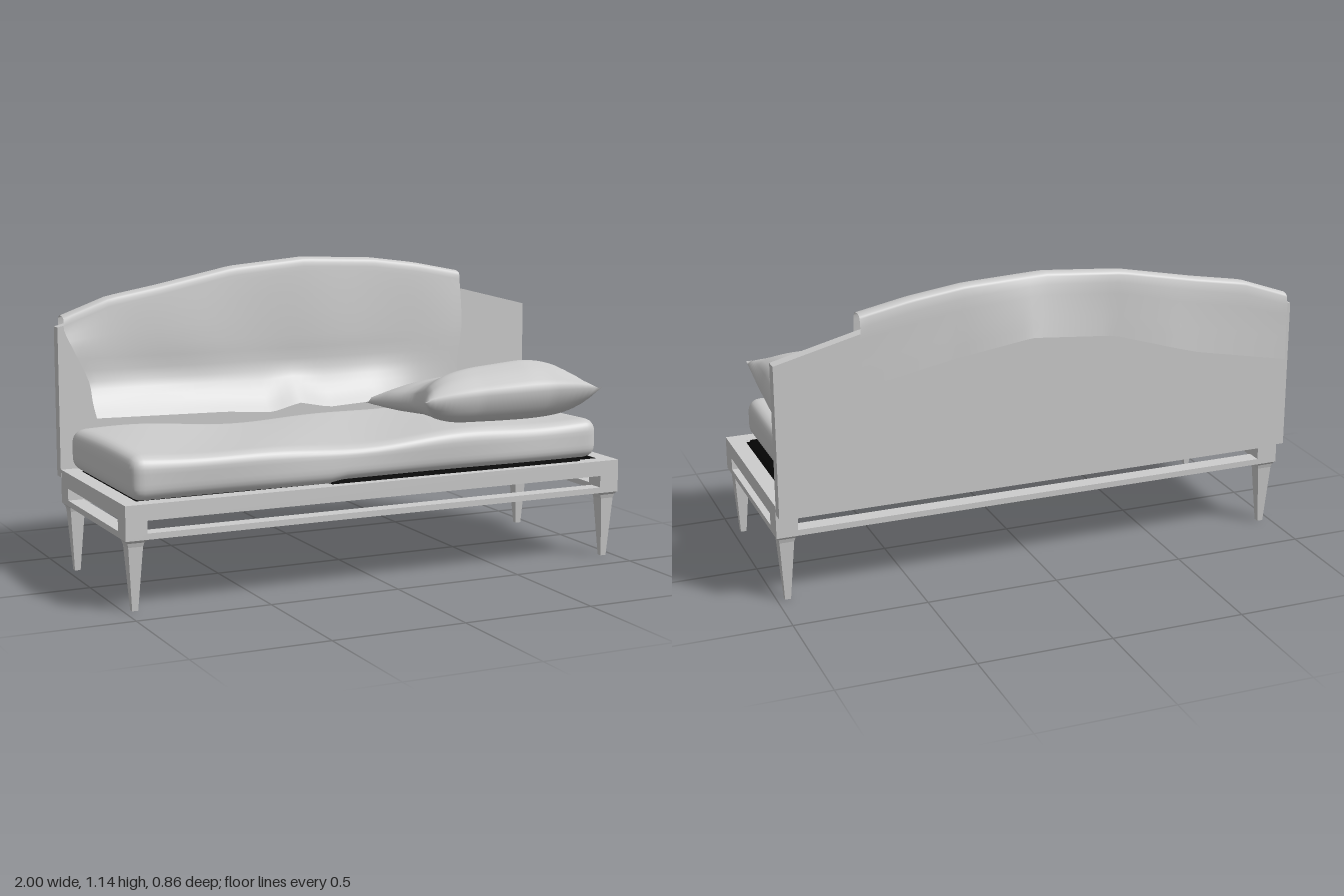
import * as THREE from 'three';
import { mergeVertices } from 'three/addons/utils/BufferGeometryUtils.js';

// Piecewise-linear lookup in a list of [x, value] pairs
function lookup(keys, x) {
  for (let i = 1; i < keys.length; i++) {
    const [x0, v0] = keys[i - 1], [x1, v1] = keys[i];
    if (x <= x1) return THREE.MathUtils.lerp(v0, v1, THREE.MathUtils.clamp((x - x0) / (x1 - x0), 0, 1));
  }
  return keys[keys.length - 1][1];
}

// Box of half size 1, reshaped by a rule and smoothed
function softBox(nx, ny, nz, rule) {
  let g = new THREE.BoxGeometry(2, 2, 2, nx, ny, nz);
  g.deleteAttribute('uv');
  g.deleteAttribute('normal');
  const p = g.attributes.position, v = new THREE.Vector3();
  for (let i = 0; i < p.count; i++) {
    v.fromBufferAttribute(p, i);
    rule(v);
    p.setXYZ(i, v.x, v.y, v.z);
  }
  g = mergeVertices(g, 1e-5);
  g.computeVertexNormals();
  return g;
}

export function createModel() {
  const model = new THREE.Group();
  const grey = new THREE.MeshStandardMaterial({ color: 0xcccccc, side: THREE.DoubleSide });
  grey.name = 'light grey';
  const black = new THREE.MeshStandardMaterial({ color: 0x040404 });
  black.name = 'black';

  const add = (name, geometry, material, x = 0, y = 0, z = 0) => {
    const m = new THREE.Mesh(geometry, material);
    m.name = name;
    m.position.set(x, y, z);
    model.add(m);
    return m;
  };
  const box = (name, mat, x0, x1, y0, y1, z0, z1) =>
    add(name, new THREE.BoxGeometry(x1 - x0, y1 - y0, z1 - z0), mat, (x0 + x1) / 2, (y0 + y1) / 2, (z0 + z1) / 2);

  // Slotted rails of the base frame
  const rail = (half) => {
    const s = new THREE.Shape([[-half, 0.255], [half, 0.255], [half, 0.38], [-half, 0.38]].map((p) => new THREE.Vector2(...p)));
    const h = half - 0.08;
    s.holes.push(new THREE.Path([[-h, 0.277], [-h, 0.322], [h, 0.322], [h, 0.277]].map((p) => new THREE.Vector2(...p))));
    return new THREE.ExtrudeGeometry(s, { depth: 0.06, bevelEnabled: false });
  };
  add('frontRail', rail(1), grey, 0, 0, 0.345);
  add('backRail', rail(1), grey, 0, 0, -0.32);
  for (const x of [-1, 0.94]) add('sideRail', rail(0.3625), grey, x, 0, 0.0425).rotation.y = Math.PI / 2;

  // Tapered square legs with a flared top, and corner posts above them
  const profile = [[0, 0], [0.011, 0], [0.027, 0.23], [0.031, 0.245], [0.04, 0.257]];
  const leg = new THREE.LatheGeometry(
    profile.map(([r, y]) => new THREE.Vector2(r * Math.SQRT2, y)), 4, Math.PI / 4).toNonIndexed();
  leg.computeVertexNormals();
  for (const x of [-0.96, 0.96]) {
    for (const z of [0.365, -0.28]) {
      add('leg', leg, grey, x, 0, z);
      box('cornerPost', grey, x - 0.04, x + 0.04, 0.256, 0.379, z - 0.039, z + 0.039);
    }
  }

  // Arched backboard
  const board = new THREE.Shape();
  board.moveTo(-1, 0.35);
  board.lineTo(1, 0.35);
  for (const [x, y] of [[1, 0.915], [0.69, 0.993], [0.35, 1.075], [0, 1.11], [-0.35, 1.075], [-0.69, 0.993], [-1, 0.915]]) board.lineTo(x, y);
  add('backboard', new THREE.ExtrudeGeometry(board, { depth: 0.045, bevelEnabled: false }), grey, 0, 0, -0.37);

  // Dark liner sagging below the seat, with its exposed edges
  add('seatLiner', softBox(24, 1, 12, (v) => {
    const x = v.x * 0.94, z = v.z * 0.31 + 0.04;
    const sag = lookup([[-0.94, 0], [-0.46, 0.045], [0, 0.07], [0.3, 0.08], [0.6, 0.08], [0.85, 0.05], [0.94, 0.02]], x);
    v.set(x, v.y > 0 ? 0.379 : 0.367 - sag * Math.sqrt(Math.max(0, 1 - v.z ** 4)), z);
  }), black);
  box('linerEdge', black, -0.2, 0.85, 0.379, 0.394, -0.27, 0.368);
  box('linerBack', black, 0.6, 0.89, 0.4, 0.51, -0.296, -0.27);

  // Mattress: rounded block, slightly worn and dipped
  add('mattress', softBox(48, 14, 28, (v) => {
    const size = new THREE.Vector3(0.945, 0.08, 0.35), r = 0.05;
    const q = new THREE.Vector3(), inner = new THREE.Vector3();
    for (const k of ['x', 'y', 'z']) {
      q[k] = Math.sin(v[k] * Math.PI / 2) * size[k];
      inner[k] = THREE.MathUtils.clamp(q[k], r - size[k], size[k] - r);
    }
    q.sub(inner);
    if (q.lengthSq() > 0) q.setLength(r);
    q.add(inner);
    const h = q.y / 0.08;
    let x = q.x - 0.025, y = q.y + 0.461, z = q.z + 0.04;
    if (h > 0) y -= h * (0.022 * Math.exp(-(((x + 0.2) / 0.4) ** 2)) + 0.006 * Math.sin(x * 9 + z * 5));
    else y -= h * (x > -0.2 ? 0.01 : 0);
    if (z < 0) z *= lookup([[-1, 1], [0.5, 1], [0.62, 0.885], [1, 0.885]], x);
    v.set(x, y, z + 0.008 * Math.sin(x * 7) * h * (z > 0 ? 0.5 : 0));
  }), grey);

  // Throw pillow: pinched corners, highest near its front
  add('pillow', softBox(32, 1, 32, (v) => {
    const u = v.x, w = v.z, top = v.y > 0;
    const x0 = lookup([[-1, 0.21], [-0.5, 0.245], [-0.1, 0.29], [0.2, 0.275], [0.6, 0.235], [1, 0.18]], w);
    const x1 = lookup([[-1, 0.93], [-0.4, 0.905], [0.5, 0.905], [1, 0.9]], w);
    const z0 = lookup([[-1, -0.24], [0, -0.245], [1, -0.29]], u);
    const z1 = lookup([[-1, 0.36], [-0.3, 0.355], [0.5, 0.385], [1, 0.43]], u);
    const seam = lookup([[-1, 0.56], [0, 0.595], [1, 0.66]], w) + 0.01 * u * w;
    const puff = Math.pow(Math.max(0, (1 - u ** 4) * (1 - w ** 4)), 0.55);
    const crest = lookup([[-1, 0.66], [-0.6, 0.685], [-0.3, 0.695], [0.1, 0.735], [0.4, 0.762], [0.7, 0.75], [1, 0.72]], w)
      + 0.03 * Math.min(0, u - 0.3);
    const y = THREE.MathUtils.lerp(seam, top ? crest : 0.532, puff);
    v.set(THREE.MathUtils.lerp(x0, x1, (u + 1) / 2), y, THREE.MathUtils.lerp(z0, z1, (w + 1) / 2));
  }), grey);

  // Throw blanket draped over the backboard, lofted from cross-sections along x
  const topY = [[-0.98, 0.955], [-0.8, 1.02], [-0.6, 1.055], [-0.3, 1.115], [0, 1.14], [0.3, 1.127], [0.5, 1.1], [0.69, 1.062]];
  const backY = [[-0.98, 0.7], [-0.6, 0.78], [-0.27, 0.88], [0.07, 0.925], [0.4, 0.86], [0.69, 0.8]];
  const backZ = [[-0.98, -0.385], [-0.5, -0.405], [-0.25, -0.392], [0.07, -0.433], [0.35, -0.395], [0.69, -0.385]];
  const hemY = [[-0.98, 0.585], [-0.4, 0.575], [-0.2, 0.56], [-0.08, 0.59], [0.05, 0.565], [0.25, 0.575], [0.69, 0.56]];
  const cols = 48, rows = 30, pos = [], idx = [];
  for (let i = 0; i <= cols; i++) {
    const t = i / cols, x = THREE.MathUtils.lerp(-0.98, 0.69, t);
    const top = lookup(topY, x), hem = lookup(hemY, x), bz = lookup(backZ, x);
    const ripple = 0.004 * Math.sin(x * 11);
    const hemZ = lookup([[-0.98, -0.2], [0.3, -0.19], [0.5, -0.27], [0.69, -0.28]], x);
    const hemX = x + 0.085 * (1 - t) ** 3 - 0.02 * t ** 3;
    const section = [
      [hemX, hem, hemZ], [hemX, hem + 0.05, (hemZ - 0.285) / 2], [hemX, 0.71, -0.288 + ripple],
      [x + 0.025 * (1 - t) ** 3, 0.84, -0.292 + ripple], [x, top - 0.05, -0.306], [x, top - 0.008, -0.314],
      [x, top, -0.335], [x, top, -0.365], [x, top - 0.012, -0.379],
      [x, (top + lookup(backY, x)) / 2, (bz - 0.382) / 2], [x, lookup(backY, x), bz],
    ].map((p) => new THREE.Vector3(...p));
    for (const p of new THREE.CatmullRomCurve3(section).getPoints(rows)) pos.push(p.x, p.y, p.z);
  }
  for (let i = 0; i < cols; i++) {
    for (let j = 0; j < rows; j++) {
      const a = i * (rows + 1) + j, b = a + rows + 1;
      idx.push(a, b, b + 1, a, b + 1, a + 1);
    }
  }
  const blanket = new THREE.BufferGeometry();
  blanket.setAttribute('position', new THREE.Float32BufferAttribute(pos, 3));
  blanket.setIndex(idx);
  blanket.computeVertexNormals();
  add('blanket', blanket, grey);

  return model;
}
